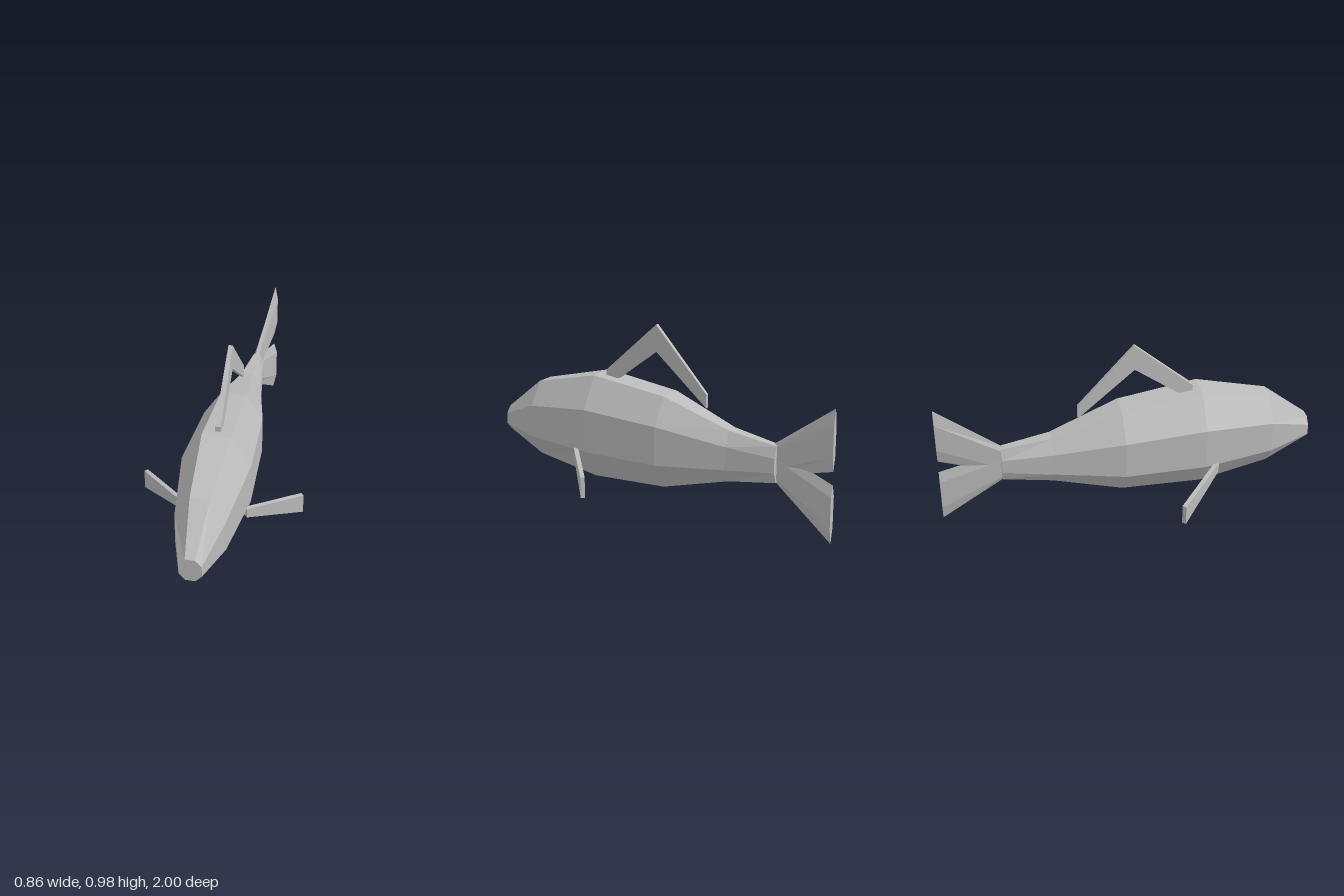
import * as THREE from 'three';

const grey = new THREE.MeshStandardMaterial({ color: 0xbbbbbb, flatShading: true });
grey.name = 'grey';

// Closed, faceted solid through a list of rings with equal point counts
function loft(name, rings) {
  const tris = [];
  const n = rings[0].length;
  for (let r = 0; r < rings.length - 1; r++) {
    const a = rings[r], b = rings[r + 1];
    for (let i = 0; i < n; i++) {
      const j = (i + 1) % n;
      tris.push([a[i], b[i], b[j]], [a[i], b[j], a[j]]);
    }
  }
  const first = rings[0], last = rings[rings.length - 1];
  for (let i = 1; i < n - 1; i++) {
    tris.push([first[0], first[i], first[i + 1]], [last[0], last[i + 1], last[i]]);
  }
  // Turn the faces outwards if the enclosed volume is negative
  const v = (p) => new THREE.Vector3(...p);
  const volume = tris.reduce((s, [a, b, c]) => s + v(a).dot(v(b).cross(v(c))), 0);
  if (volume < 0) tris.forEach((t) => t.reverse());
  const geometry = new THREE.BufferGeometry();
  geometry.setAttribute('position', new THREE.Float32BufferAttribute(tris.flat(2), 3));
  geometry.computeVertexNormals();
  const mesh = new THREE.Mesh(geometry, grey);
  mesh.name = name;
  return mesh;
}

// Octagonal body section
function bodyRing([z, cx, flat, wide, bottom, low, high, top]) {
  return [
    [flat, bottom], [wide, low], [wide, high], [flat, top],
    [-flat, top], [-wide, high], [-wide, low], [-flat, bottom],
  ].map(([x, y]) => [cx + x, y, z]);
}

// Six-sided tail lobe section, pointed at top and bottom
function lobeRing(z, cx, half, top, high, low, bottom) {
  return [
    [cx, bottom, z], [cx + half, low, z], [cx + half, high, z],
    [cx, top, z], [cx - half, high, z], [cx - half, low, z],
  ];
}

// Four-sided section of the bent back fin
function finRing([z, cx, half, bottom, top]) {
  return [[cx + half, bottom, z], [cx + half, top, z], [cx - half, top, z], [cx - half, bottom, z]];
}

// Swept-back side fin; side is +1 for left and -1 for right
function sideFin(name, side, tipZ) {
  const section = (x, z, bottom, top) => {
    const t = 0.008;
    return [[x - t, bottom, z - t], [x + t, bottom, z + t], [x + t, top, z + t], [x - t, top, z - t]]
      .map(([px, y, pz]) => [side * px, y, pz]);
  };
  return loft(name, [section(0.165, 0.455, 0.225, 0.28), section(0.422, tipZ, 0.118, 0.231)]);
}

export function createModel() {
  const fish = new THREE.Group();
  fish.name = 'fish';

  // Body: z, centre x, flat half width, half width, bottom, low, high, top
  fish.add(loft('body', [
    [1, 0, 0.025, 0.057, 0.262, 0.298, 0.358, 0.395],
    [0.77, 0, 0.05, 0.128, 0.16, 0.277, 0.455, 0.578],
    [0.39, 0, 0.073, 0.178, 0.104, 0.27, 0.504, 0.67],
    [-0.04, 0.002, 0.066, 0.157, 0.12, 0.265, 0.475, 0.617],
    [-0.41, 0.005, 0.033, 0.077, 0.212, 0.285, 0.41, 0.486],
    [-0.675, 0.013, 0.017, 0.037, 0.25, 0.308, 0.385, 0.447],
  ].map(bodyRing)));

  // Back fin
  fish.add(loft('backFin', [
    [0.35, 0, 0.015, 0.6, 0.695],
    [0.04, 0.003, 0.011, 0.835, 0.978],
    [-0.262, 0.006, 0.009, 0.575, 0.648],
  ].map(finRing)));

  // Forked tail, bent slightly to one side
  fish.add(loft('upperTailLobe', [
    lobeRing(-0.65, 0.006, 0.013, 0.448, 0.42, 0.315, 0.28),
    lobeRing(-1, 0.058, 0.015, 0.703, 0.62, 0.46, 0.38),
  ]));
  fish.add(loft('lowerTailLobe', [
    lobeRing(-0.65, 0.006, 0.013, 0.425, 0.38, 0.285, 0.258),
    lobeRing(-1, 0.058, 0.017, 0.31, 0.25, 0.08, 0),
  ]));

  // Side fins
  fish.add(sideFin('leftSideFin', 1, 0.235), sideFin('rightSideFin', -1, 0.205));

  return fish;
}
